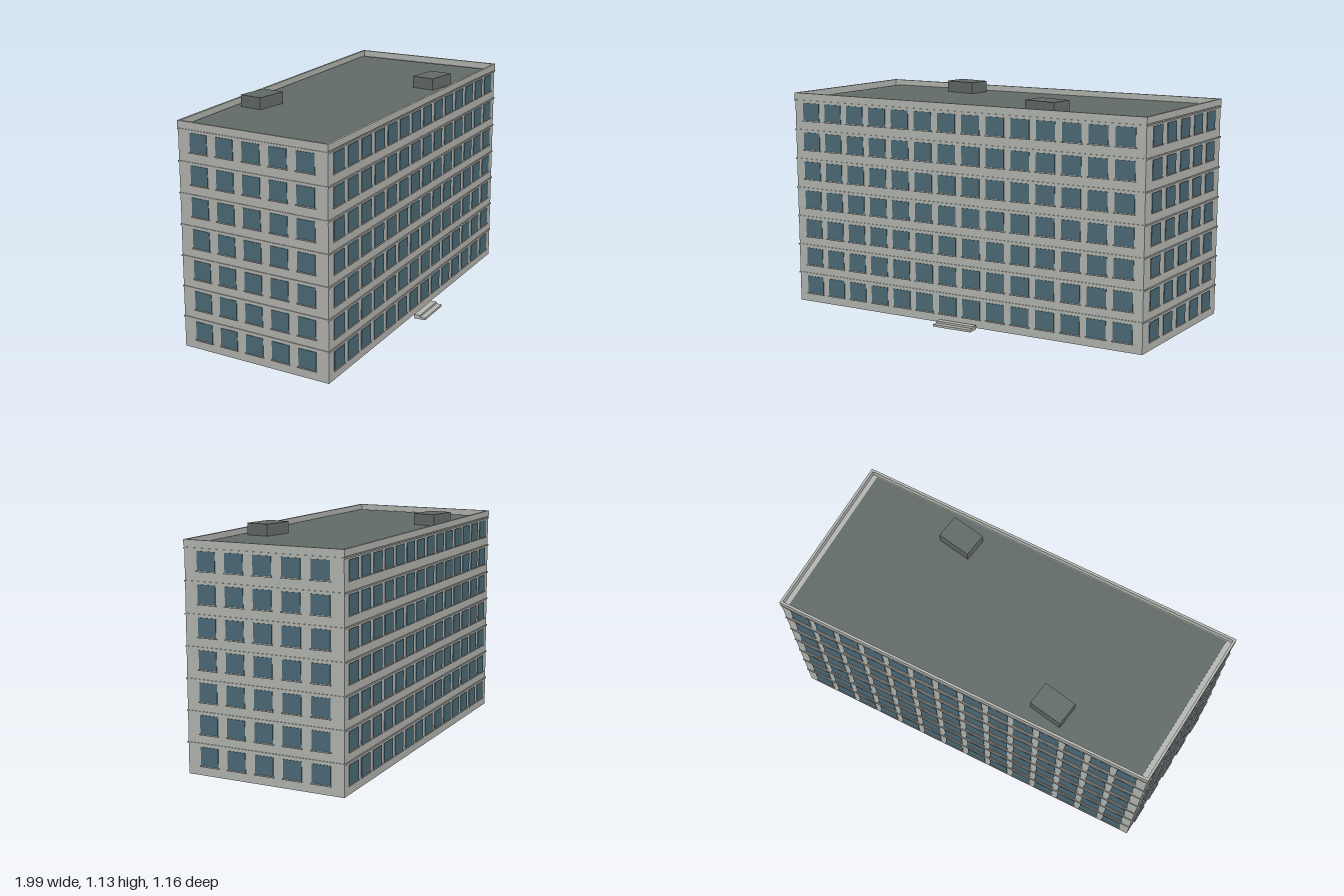
import * as THREE from 'three';

const wallMat = new THREE.MeshStandardMaterial({ color: 0xb5b7b2 });
wallMat.name = 'concrete';
const glassMat = new THREE.MeshStandardMaterial({ color: 0x4c6b78 });
glassMat.name = 'blue glass';
const roofMat = new THREE.MeshStandardMaterial({ color: 0x626b67 });
roofMat.name = 'roof grey';

// Skewed footprint as [x, z]: front left, front right, back right, back left
const foot = [[-0.931, 0.572], [0.992, 0.236], [0.893, -0.575], [-0.994, -0.233]];
const FLOORS = 7, STOREY = 0.1517, WALL_TOP = 1.064, PARAPET_TOP = 1.096;

// Footprint with every side moved outward by d
function offset(d) {
  const lines = foot.map((a, i) => {
    const b = foot[(i + 1) % 4];
    const dx = b[0] - a[0], dz = b[1] - a[1], l = Math.hypot(dx, dz);
    return { x: a[0] - dz / l * d, z: a[1] + dx / l * d, dx, dz };
  });
  return lines.map((q, i) => {
    const p = lines[(i + 3) % 4];
    const t = ((q.x - p.x) * q.dz - (q.z - p.z) * q.dx) / (p.dx * q.dz - p.dz * q.dx);
    return [p.x + p.dx * t, p.z + p.dz * t];
  });
}

const toVec = (pts) => pts.map(([x, z]) => new THREE.Vector2(x, -z));

// Upright prism on an outline, with an optional hole
function prism(name, outline, y0, y1, mat, hole) {
  const shape = new THREE.Shape(toVec(outline));
  if (hole) shape.holes.push(new THREE.Path(toVec(hole)));
  const geo = new THREE.ExtrudeGeometry(shape, { depth: y1 - y0, bevelEnabled: false });
  geo.rotateX(-Math.PI / 2);
  const mesh = new THREE.Mesh(geo, mat);
  mesh.name = name;
  mesh.position.y = y0;
  return mesh;
}

function box(name, w, h, d, x, y, z, mat) {
  const mesh = new THREE.Mesh(new THREE.BoxGeometry(w, h, d), mat);
  mesh.name = name;
  mesh.position.set(x, y, z);
  return mesh;
}

// Group whose x runs along a wall and whose z points out of it
function wallFrame(name, i) {
  const a = foot[i], b = foot[(i + 1) % 4];
  const g = new THREE.Group();
  g.name = name;
  g.position.set(a[0], 0, a[1]);
  g.rotation.y = Math.atan2(a[1] - b[1], b[0] - a[0]);
  g.userData.length = Math.hypot(b[0] - a[0], b[1] - a[1]);
  return g;
}

// Grid of windows with sills on one wall
function windows(name, i, columns, width, margin) {
  const g = wallFrame(name, i);
  const step = (g.userData.length - 2 * margin) / columns;
  const pane = new THREE.BoxGeometry(width, 0.09, 0.004);
  const sill = new THREE.BoxGeometry(width + 0.008, 0.005, 0.008);
  for (let f = 0; f < FLOORS; f++) {
    for (let c = 0; c < columns; c++) {
      const x = margin + (c + 0.5) * step, y = 0.091 + f * STOREY;
      const w = new THREE.Mesh(pane, glassMat);
      w.name = 'window';
      w.position.set(x, y, 0.001);
      const s = new THREE.Mesh(sill, wallMat);
      s.name = 'windowSill';
      s.position.set(x, y - 0.0475, 0.003);
      g.add(w, s);
    }
  }
  return g;
}

export function createModel() {
  const model = new THREE.Group();
  model.name = 'officeBlock';

  // Body and floor bands
  model.add(prism('walls', foot, 0, WALL_TOP, wallMat));
  for (let f = 1; f <= FLOORS; f++) {
    const y = f * 0.151;
    model.add(prism('floorBand', offset(0.004), y - 0.004, y + 0.003, wallMat, offset(-0.01)));
  }

  // Windows on all four sides
  model.add(windows('frontWindows', 0, 14, 0.099, 0.032));
  model.add(windows('leftWindows', 1, 5, 0.095, 0.042));
  model.add(windows('backWindows', 2, 14, 0.099, 0.032));
  model.add(windows('rightWindows', 3, 5, 0.095, 0.042));

  // Parapet, roof deck and rooftop units
  model.add(prism('parapet', offset(0.003), WALL_TOP, PARAPET_TOP, wallMat, offset(-0.009)));
  const deck = foot.map(([x, z]) => [x * 0.965, z * 0.965]);
  model.add(prism('roofDeck', deck, WALL_TOP - 0.004, WALL_TOP + 0.004, roofMat));
  for (const [x, z] of [[-0.44, -0.207], [0.415, 0.207]]) {
    model.add(box('rooftopUnit', 0.17, 0.06, 0.12, x, 1.096, z, roofMat));
  }

  // Entrance steps just off the front wall
  const entrance = wallFrame('entranceSteps', 0);
  const mid = 0.978;
  entrance.add(box('lowerStep', 0.21, 0.011, 0.06, mid, 0.0055, 0.05, wallMat));
  entrance.add(box('upperStep', 0.21, 0.011, 0.032, mid, 0.0155, 0.036, wallMat));
  model.add(entrance);

  return model;
}
